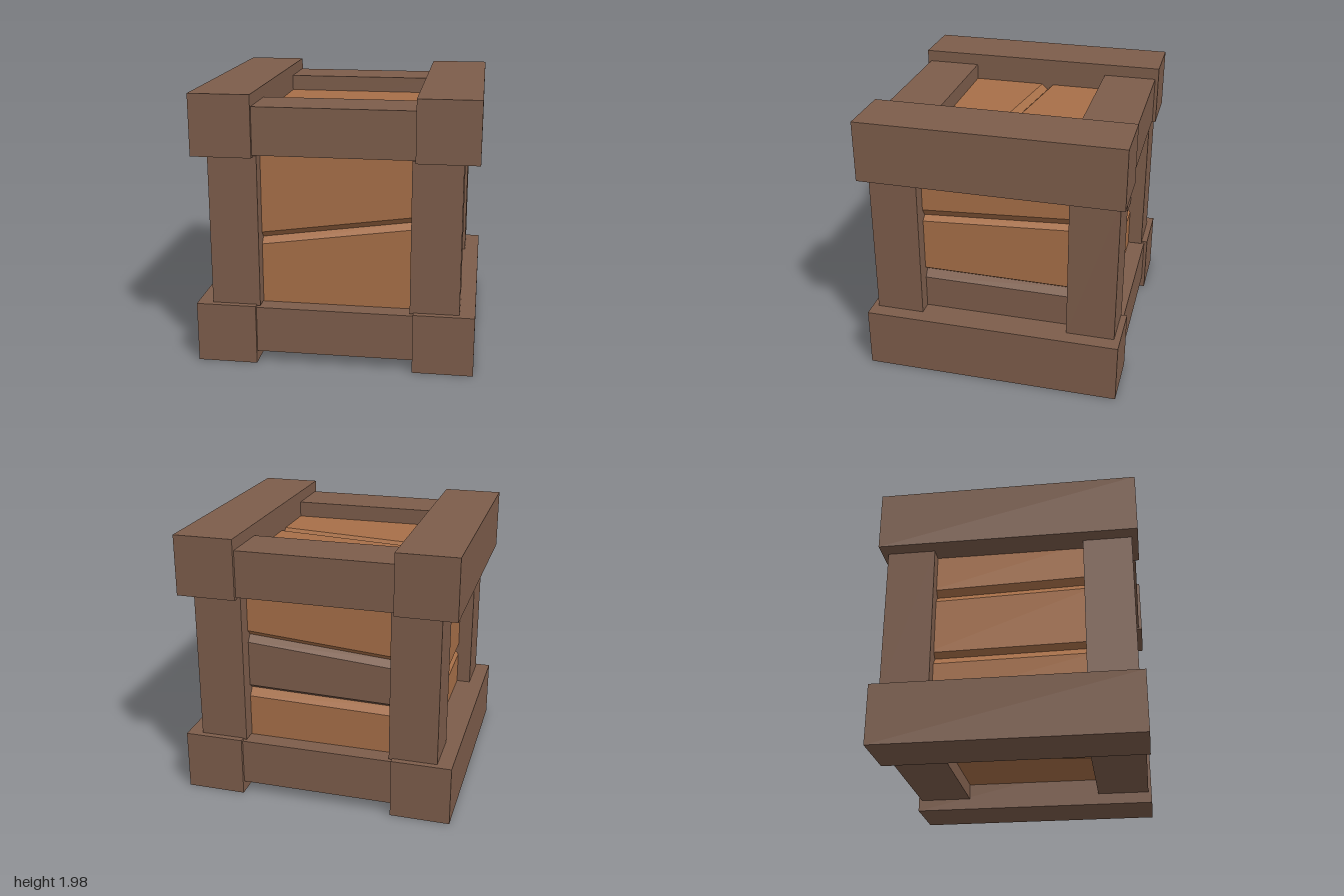
import * as THREE from 'three';

const MID = 0.9875;   // height of the crate's centre
const FACE = 0.785;   // plank face distance from the centre
const BACK = 0.66;    // plank back distance
const GROOVE = 0.042; // depth of the V groove between planks
const HALF = 0.6;     // half size of a panel, ends hidden in the frame

export function createModel() {
  const frameWood = new THREE.MeshStandardMaterial({ color: 0x7d5d4b });
  frameWood.name = 'dark brown wood';
  const plankWood = new THREE.MeshStandardMaterial({ color: 0xa76f48 });
  plankWood.name = 'orange wood';

  const crate = new THREE.Group();
  crate.name = 'crate';

  function beam(name, x, y, z, w, h, d) {
    const mesh = new THREE.Mesh(new THREE.BoxGeometry(w, h, d), frameWood);
    mesh.name = name;
    mesh.position.set(x, y, z);
    crate.add(mesh);
  }

  // Frame: side rails, cross rails and corner posts
  for (const a of [-1, 1]) {
    for (const b of [-1, 1]) {
      beam('sideRail', a * 0.7825, MID + b * 0.767, 0, 0.435, 0.441, 1.88);
      beam('crossRail', 0, MID + a * 0.732, b * 0.7175, 1.14, 0.34, 0.395);
      beam('cornerPost', a * 0.715, MID, b * 0.72, 0.35, 1.11, 0.35);
    }
  }

  // Plank: a six-sided profile swept between its two ends, bevelled at grooves.
  // An edge is { l, r, bevel }: heights at the left and right end, bevel width.
  function plankGeometry(low, high) {
    const section = (x, k) => [
      [x, low[k], BACK], [x, low[k], FACE - GROOVE], [x, low[k] + low.bevel, FACE],
      [x, high[k] - high.bevel, FACE], [x, high[k], FACE - GROOVE], [x, high[k], BACK],
    ];
    const L = section(-HALF, 'l');
    const R = section(HALF, 'r');
    const points = [];
    for (let i = 0; i < 6; i++) {
      const j = (i + 1) % 6;
      points.push(L[i], R[i], R[j], L[i], R[j], L[j]);
    }
    for (let i = 1; i < 5; i++) {
      points.push(L[0], L[i], L[i + 1], R[0], R[i + 1], R[i]);
    }
    const geometry = new THREE.BufferGeometry();
    geometry.setAttribute('position', new THREE.Float32BufferAttribute(points.flat(), 3));
    geometry.computeVertexNormals();
    return geometry;
  }

  // Panel: planks from top to bottom, parted by slanted seams.
  // A seam is [left height, right height, upper bevel, lower bevel].
  function panel(name, rotation, seams, woods) {
    const group = new THREE.Group();
    group.name = name;
    let high = { l: HALF, r: HALF, bevel: 0 };
    woods.forEach((wood, i) => {
      const s = seams[i];
      let low = { l: -HALF, r: -HALF, bevel: 0 };
      let next = null;
      if (s) {
        // Extend the seam from the visible opening to the panel ends
        const mid = (s[0] + s[1]) / 2;
        const rise = ((s[1] - s[0]) / 2) * (HALF / 0.55);
        low = { l: mid - rise, r: mid + rise, bevel: s[2] };
        next = { ...low, bevel: s[3] };
      }
      const mesh = new THREE.Mesh(plankGeometry(low, high), wood);
      mesh.name = 'plank';
      group.add(mesh);
      high = next;
    });
    group.rotation.set(...rotation);
    group.position.y = MID;
    crate.add(group);
  }

  const q = Math.PI / 2;
  const o = plankWood;
  const b = frameWood;
  panel('frontPanel', [0, 0, 0], [[-0.078, 0.078, 0.045, 0.045]], [o, o]);
  panel('rightPanel', [0, q, 0],
    [[0.203, 0.268, 0.058, 0.033], [-0.248, -0.253, 0.03, 0.056]], [o, o, b]);
  panel('backPanel', [0, 2 * q, 0],
    [[0.23, 0.145, 0.04, 0.05], [-0.19, -0.212, 0.032, 0.058]], [o, b, o]);
  panel('leftPanel', [0, -q, 0],
    [[0.23, 0.26, 0.045, 0.05], [-0.265, -0.25, 0.035, 0.055]], [o, o, o]);
  panel('topPanel', [-q, 0, 0], [[0.06, -0.1, 0.045, 0.045]], [o, o]);
  panel('bottomPanel', [q, 0, q], [[0.135, 0, 0.045, 0.045]], [b, o]);

  return crate;
}
